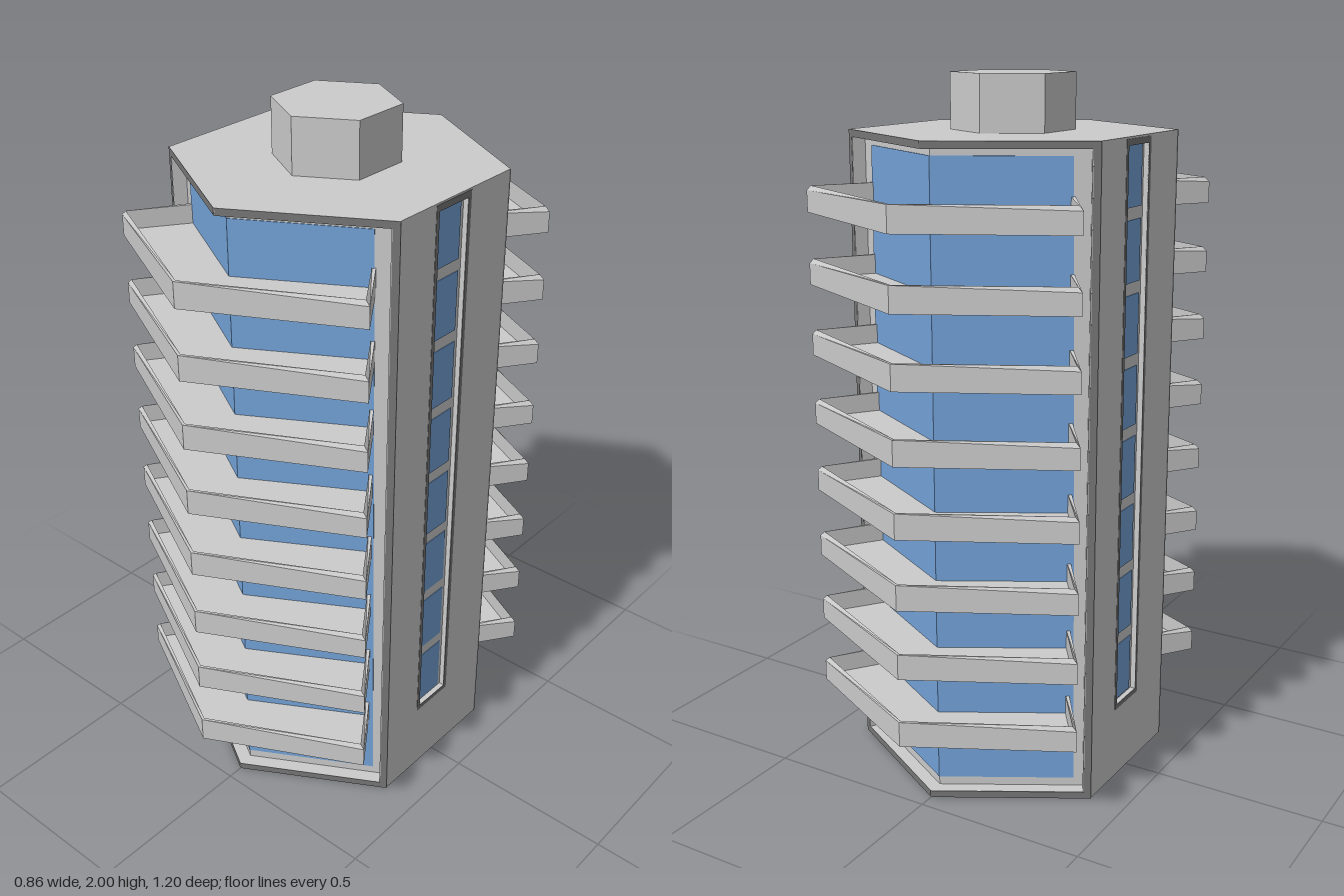
import * as THREE from 'three';

const H = 1.845, APO = 0.393, GLASS = 0.355, COS = Math.cos(Math.PI / 6), EDGE = 0.02;
const grey = new THREE.MeshStandardMaterial({ color: 0xcccccc, flatShading: true });
const dark = new THREE.MeshStandardMaterial({ color: 0x777777, flatShading: true });
const blue = new THREE.MeshStandardMaterial({ color: 0x73a2d8, flatShading: true });

const shapeOf = pts => new THREE.Shape(pts.map(p => new THREE.Vector2(p[0], p[1])));
const rect = (x0, y0, x1, y1) => [[x0, y0], [x1, y0], [x1, y1], [x0, y1]];
const extrude = (shape, depth) => new THREE.ExtrudeGeometry(shape, { depth, bevelEnabled: false });

function add(parent, name, geometry, material) {
  const mesh = new THREE.Mesh(geometry, material);
  mesh.name = name;
  parent.add(mesh);
  return mesh;
}

// Upright prism from a plan outline of [x, z] points
function prism(plan, y0, y1) {
  const g = extrude(shapeOf(plan.map(([x, z]) => [x, -z])), y1 - y0);
  return g.rotateX(-Math.PI / 2).translate(0, y0, 0);
}

// Completes a right-hand half outline with its mirror image
const mirrored = half => [...half, ...half.filter(p => p[0] > 0).reverse().map(([x, z]) => [-x, z])];

// Flat panel on one slanted face, measured from the central ridge
function onFace(parent, name, pts, apothem, side, depth, material) {
  const mesh = add(parent, name, extrude(shapeOf(pts.map(([u, v]) => [side * u, v])), depth), material);
  mesh.position.z = (apothem - depth) / COS;
  mesh.rotation.y = side * Math.PI / 6;
}

function balcony(y) {
  const group = new THREE.Group();
  group.name = 'balcony';
  const outer = [[0, 0.601], [0.428, 0.379], [0.318, 0.222]];
  const inner = [[0, 0.592], [0.414, 0.377], [0.305, 0.222]];
  add(group, 'balconyFloor', prism(mirrored([...outer, [0, 0.405]]), y, y + 0.02), grey);
  const left = p => p.map(([x, z]) => [-x, z]);
  const rail = [
    ...left(outer).reverse(), ...outer.slice(1),
    ...inner.slice().reverse(), ...left(inner).slice(1),
  ];
  const g = prism(rail, y, y + 0.073);
  // Lower the outer top corners slightly
  const pos = g.attributes.position;
  for (let i = 0; i < pos.count; i++) {
    if (Math.abs(pos.getX(i)) > 0.42 && pos.getY(i) > y + 0.05) pos.setY(i, y + 0.06);
  }
  g.computeVertexNormals();
  add(group, 'balconyParapet', g, grey);
  return group;
}

// One half of the tower: a glazed front with balconies and one side wall
function half() {
  const group = new THREE.Group();
  const L = APO / COS;
  for (const side of [1, -1]) {
    onFace(group, 'facadeFrame', [[0, 0], [L, 0], [L, H], [0, H], [0, H - EDGE],
      [L - EDGE, H - EDGE], [L - EDGE, EDGE], [0, EDGE]], APO + 0.001, side, 0.004, dark);
    onFace(group, 'facadeGlass', [[0, 0.045], [0.385, 0.045], [0.365, 1.805], [0, 1.805]],
      GLASS + 0.002, side, 0.002, blue);
  }
  for (let i = 0; i < 8; i++) group.add(balcony(0.23 + i * 0.2));

  // Side wall with its recessed stair window
  const wall = new THREE.Group();
  wall.name = 'sideWall';
  wall.position.x = 0.378;
  wall.rotation.y = Math.PI / 2;
  const zc = -0.0125;
  const opening = rect(zc - 0.06, 0.227, zc + 0.06, H - EDGE - 0.003);
  const panel = shapeOf(rect(-0.228, EDGE, 0.228, H - EDGE));
  panel.holes.push(shapeOf(opening));
  add(wall, 'wallPanel', extrude(panel, 0.015), grey);
  const rim = shapeOf(rect(zc - 0.072, 0.213, zc + 0.072, 1.84));
  rim.holes.push(shapeOf(opening));
  add(wall, 'stairWindowFrame', extrude(rim, 0.003), dark).position.z = 0.013;
  for (let i = 0; i < 8; i++) {
    const y = 0.232 + i * 0.2035;
    add(wall, 'stairWindowPane', extrude(shapeOf(rect(zc - 0.048, y, zc + 0.048, y + 0.17)), 0.002), blue);
  }
  group.add(wall);
  return group;
}

export function createModel() {
  const model = new THREE.Group();
  model.name = 'tower';

  // Core with recessed glazing planes, between base and roof slabs
  const front = [[0, 0.41], [0.356, 0.2045], [0.375, 0.2375], [0.378, 0.2355]];
  const back = front.map(([x, z]) => [x, -z]).reverse();
  add(model, 'core', prism(mirrored([...front, ...back]), EDGE, H - EDGE), grey);
  const hex = mirrored([[0, APO / COS], [APO, 0.227], [APO, -0.227], [0, -APO / COS]]);
  add(model, 'baseSlab', prism(hex, 0, EDGE), grey);
  add(model, 'roofSlab', prism(hex, H - EDGE, H), grey);

  // Rooftop plant room
  add(model, 'roofRoom', new THREE.CylinderGeometry(0.173, 0.173, 2 - H, 6), grey)
    .position.y = (2 + H) / 2;

  for (let i = 0; i < 2; i++) {
    const part = half();
    part.name = i ? 'backHalf' : 'frontHalf';
    part.rotation.y = i * Math.PI;
    model.add(part);
  }
  return model;
}
